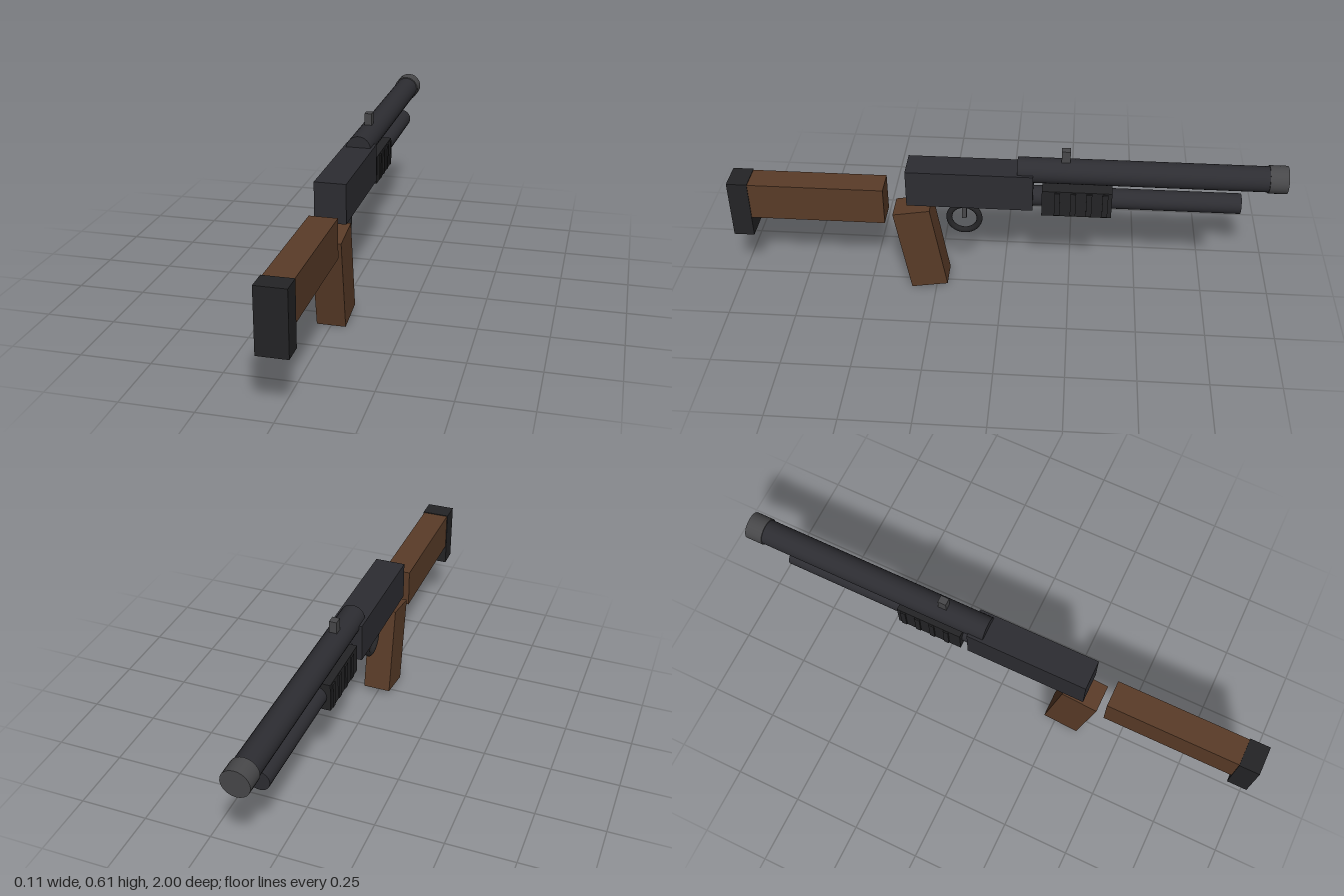
import * as THREE from 'three';

const mat = (color) => new THREE.MeshStandardMaterial({ color });

export function createModel() {
  const group = new THREE.Group();
  const metal = mat(0x2d2d32), dark = mat(0x242426), steel = mat(0x48484a), wood = mat(0x5a3c28);

  const add = (name, geometry, material, x, y, z) => {
    const mesh = new THREE.Mesh(geometry, material);
    mesh.name = name;
    mesh.position.set(x, y, z);
    group.add(mesh);
    return mesh;
  };
  // Box given by its full width and its y and z ranges
  const block = (name, material, w, y0, y1, z0, z1) =>
    add(name, new THREE.BoxGeometry(w, y1 - y0, z1 - z0), material, 0, (y0 + y1) / 2, (z0 + z1) / 2);
  // Cylinder lying along z
  const rod = (name, material, r, y, z0, z1) =>
    add(name, new THREE.CylinderGeometry(r, r, z1 - z0, 24).rotateX(Math.PI / 2), material, 0, y, (z0 + z1) / 2);

  // Receiver, barrel and magazine tube
  block('receiver', metal, 0.112, 0.385, 0.528, -0.11, 0.345);
  rod('barrel', metal, 0.046, 0.524, -0.99, -0.053);
  rod('muzzleCap', steel, 0.05, 0.524, -1, -0.935);
  rod('magazineTube', metal, 0.037, 0.414, -0.85, -0.053);
  block('frontSight', steel, 0.027, 0.56, 0.613, -0.239, -0.208);

  // Sliding forend with raised ribs
  block('forend', dark, 0.1, 0.362, 0.467, -0.392, -0.142);
  for (let i = 0; i < 4; i++) {
    const z = -0.197 - i * 0.057;
    block('forendRib', dark, 0.11, 0.367, 0.462, z - 0.01, z + 0.01);
  }

  // Stock and butt pad
  block('stock', wood, 0.1, 0.296, 0.44, 0.43, 0.93);
  block('buttPad', dark, 0.106, 0.218, 0.443, 0.925, 1);

  // Raked pistol grip
  const grip = add('grip', new THREE.BoxGeometry(0.104, 0.34, 0.138), wood, 0, 0.18, 0.303);
  grip.rotation.x = 0.17;

  // Trigger and ring guard
  add('triggerGuard', new THREE.TorusGeometry(0.056, 0.011, 12, 32).rotateY(Math.PI / 2), dark, 0, 0.301, 0.142);
  block('trigger', steel, 0.018, 0.304, 0.356, 0.133, 0.149);

  return group;
}
